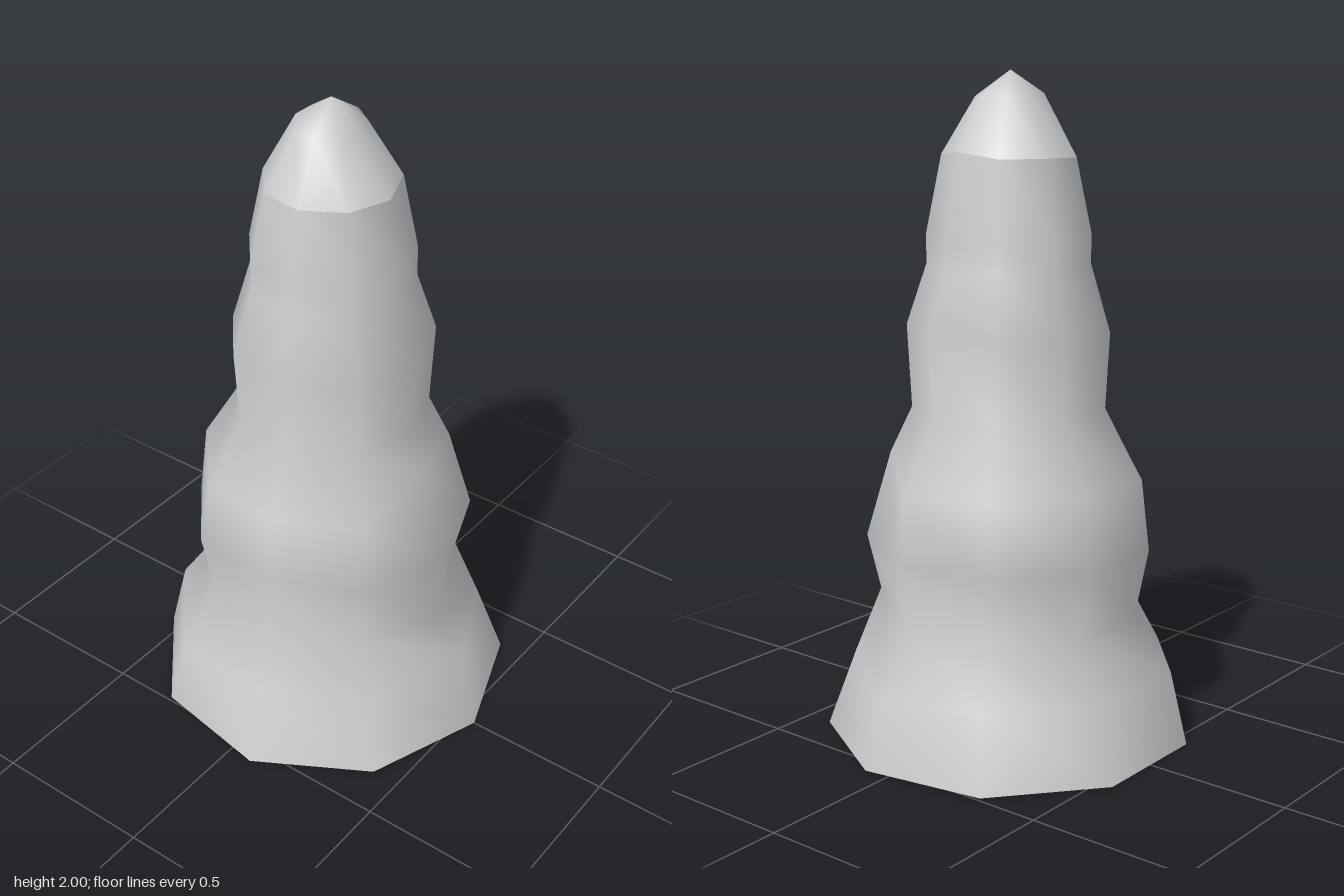
import * as THREE from 'three';
import { mergeVertices } from 'three/addons/utils/BufferGeometryUtils.js';

const SIDES = 9;
const AXIS_X = -0.018;

// Each ring: radius and height, as one number or one value per side (starting at +x, turning towards +z)
const bodyRings = [
  { r: 0.563, y: 0 },
  { // lower shoulder
    r: [0.51, 0.495, 0.48, 0.505, 0.51, 0.51, 0.505, 0.508, 0.475],
    y: [0.265, 0.23, 0.22, 0.21, 0.225, 0.225, 0.22, 0.2, 0.24],
  },
  { r: 0.395, y: [0.345, 0.39, 0.45, 0.41, 0.39, 0.39, 0.4, 0.41, 0.44] }, // lower waist
  { r: 0.435, y: [0.6, 0.61, 0.645, 0.61, 0.6, 0.6, 0.6, 0.6, 0.61] }, // large bulge
  { // upper shoulder
    r: [0.343, 0.4, 0.374, 0.4, 0.41, 0.41, 0.41, 0.406, 0.36],
    y: [0.905, 0.82, 0.81, 0.81, 0.815, 0.815, 0.81, 0.8, 0.87],
  },
  { r: 0.294, y: 1.01 }, // upper waist
  { r: 0.307, y: [1.245, 1.25, 1.25, 1.25, 1.25, 1.25, 1.26, 1.28, 1.26] }, // small bulge
  { r: 0.247, y: [1.45, 1.44, 1.44, 1.45, 1.45, 1.45, 1.44, 1.42, 1.44] },
  { r: 0.247, y: [1.54, 1.53, 1.53, 1.54, 1.54, 1.54, 1.53, 1.51, 1.53] },
  { r: 0.201, y: [1.75, 1.75, 1.75, 1.75, 1.755, 1.76, 1.76, 1.775, 1.76] },
];
const tipRings = [
  bodyRings[bodyRings.length - 1],
  { r: 0.102, y: [1.92, 1.92, 1.92, 1.925, 1.935, 1.935, 1.935, 1.935, 1.925] },
  { r: 0, y: 2 },
];

const pick = (value, side) => (Array.isArray(value) ? value[side] : value);

// Lathe whose rings are then moved side by side to their uneven radius and height
function unevenLathe(rings) {
  const profile = rings.map((_, i) => new THREE.Vector2(1, i));
  const lathe = new THREE.LatheGeometry(profile, SIDES, Math.PI / 2);
  const pos = lathe.attributes.position;
  for (let i = 0; i < pos.count; i++) {
    const ring = rings[i % rings.length];
    const column = Math.floor(i / rings.length);
    const side = (SIDES - column) % SIDES;
    const angle = (side / SIDES) * Math.PI * 2;
    const r = pick(ring.r, side);
    pos.setXYZ(i, r * Math.cos(angle), pick(ring.y, side), r * Math.sin(angle));
  }
  // Weld the seam so the shading runs smoothly all the way round
  lathe.deleteAttribute('uv');
  lathe.deleteAttribute('normal');
  const welded = mergeVertices(lathe, 1e-4);
  welded.computeVertexNormals();
  return welded;
}

export function createModel() {
  const model = new THREE.Group();
  model.name = 'stalagmite';
  const stone = new THREE.MeshStandardMaterial({ color: 0xcccccc });

  const add = (name, geometry) => {
    const mesh = new THREE.Mesh(geometry, stone);
    mesh.name = name;
    mesh.position.x = AXIS_X;
    model.add(mesh);
  };

  add('body', unevenLathe(bodyRings));
  add('tip', unevenLathe(tipRings));
  // Flat underside
  add('underside', new THREE.CircleGeometry(0.563, SIDES).rotateX(Math.PI / 2));

  return model;
}
